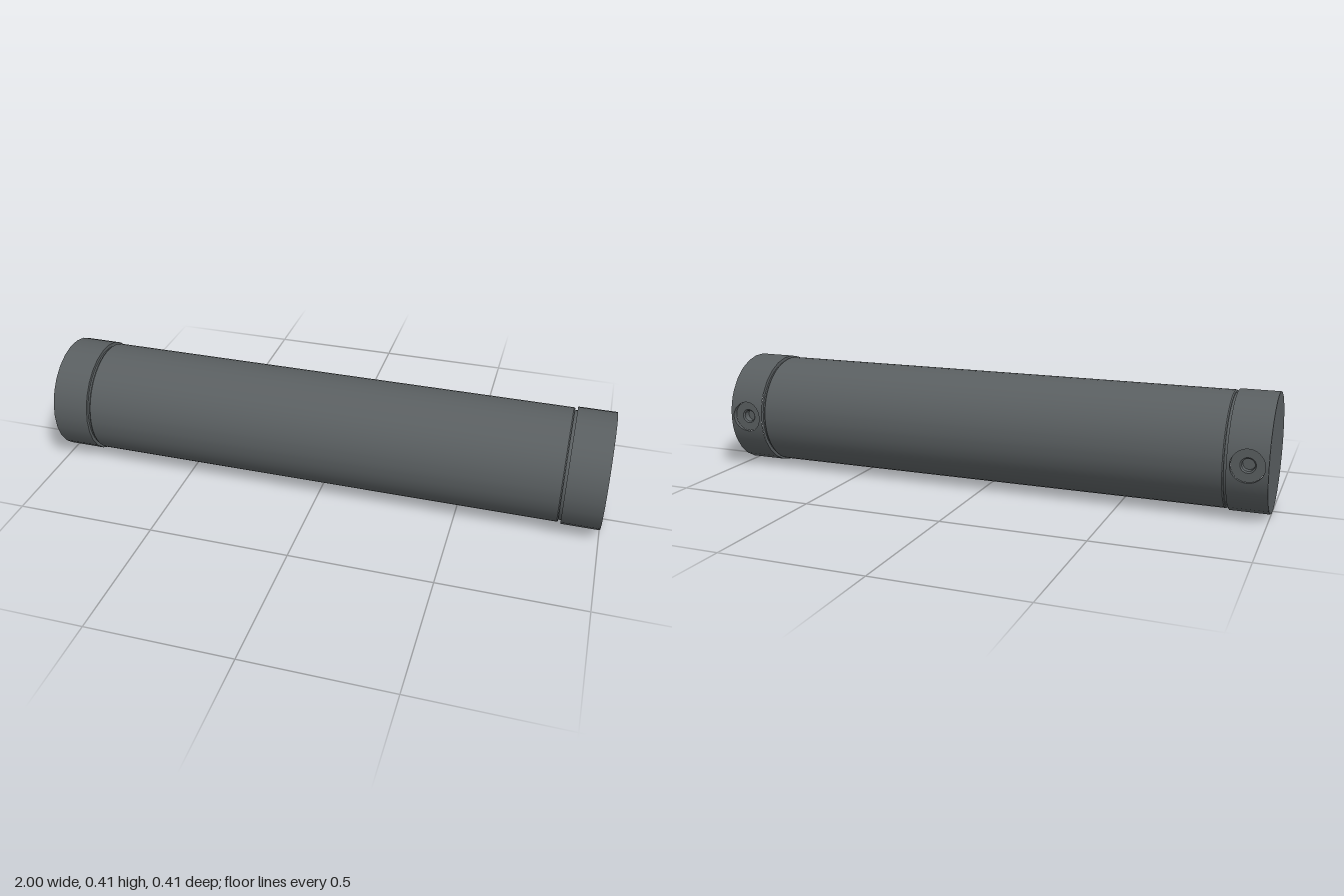
import * as THREE from 'three';
import { toCreasedNormals } from 'three/addons/utils/BufferGeometryUtils.js';
import { ParametricGeometry } from 'three/addons/geometries/ParametricGeometry.js';

const R = 0.205;                 // end cap radius
const SIDES = 26;
const PATCH = 4 * Math.PI / SIDES; // half angle of the wall patch around the screw recess
const INNER = 0.867;             // x of the cap's inner face
const HALF = (1 - INNER) / 2;    // half width of a cap
const HOLE = 0.056;              // recess radius
const FLOOR = 0.188;             // distance of the recess floor from the axis

const dark = new THREE.MeshStandardMaterial({ color: 0x5a5f61 });
const darkDouble = new THREE.MeshStandardMaterial({ color: 0x5a5f61, side: THREE.DoubleSide });

function add(parent, name, geometry, material = dark) {
  const mesh = new THREE.Mesh(geometry, material);
  mesh.name = name;
  parent.add(mesh);
  return mesh;
}

function lathe(profile, segments) {
  const points = profile.map(([r, y]) => new THREE.Vector2(r, y));
  return toCreasedNormals(new THREE.LatheGeometry(points, segments), 0.5);
}

// point on the cap wall; angle 0 faces the back
const onWall = (x, a, target) => target.set(x, R * Math.sin(a), -R * Math.cos(a));

function createCap(name) {
  const cap = new THREE.Group();
  cap.name = name;

  // plain wall round the rest of the circumference
  add(cap, 'capWall', new ParametricGeometry((u, v, p) =>
    onWall((2 * v - 1) * HALF, PATCH + u * (2 * Math.PI - 2 * PATCH), p), SIDES - 4, 1));

  // curved patch of wall with a round opening
  add(cap, 'recessSurround', new ParametricGeometry((u, v, p) => {
    const c = Math.cos(u * 2 * Math.PI), s = Math.sin(u * 2 * Math.PI);
    const m = Math.max(Math.abs(c), Math.abs(s));
    const x = THREE.MathUtils.lerp(HOLE * c, HALF * c / m, v);
    const a = THREE.MathUtils.lerp(Math.asin(HOLE * s / R), PATCH * s / m, v);
    onWall(x, a, p);
  }, 48, 4));

  // side of the recess, from its floor to the curved rim
  add(cap, 'recessSide', new ParametricGeometry((u, v, p) => {
    const x = HOLE * Math.cos(u * 2 * Math.PI), y = HOLE * Math.sin(u * 2 * Math.PI);
    p.set(x, y, -THREE.MathUtils.lerp(FLOOR, Math.sqrt(R * R - y * y), v));
  }, 48, 1), darkDouble);

  // screw head with a socket
  const screw = lathe([
    [HOLE, FLOOR], [0.05, FLOOR], [0.026, FLOOR], [0.021, FLOOR - 0.005],
    [0.021, FLOOR - 0.03], [0, FLOOR - 0.03],
  ], 24);
  screw.rotateX(-Math.PI / 2);
  add(cap, 'screw', screw, darkDouble);

  // flat faces at both ends of the cap
  for (const s of [-1, 1]) {
    const face = add(cap, 'capFace', new THREE.CircleGeometry(R, SIDES));
    face.rotation.y = s * Math.PI / 2;
    face.position.x = s * HALF;
  }
  return cap;
}

export function createModel() {
  const model = new THREE.Group();
  model.name = 'cappedTube';
  const assembly = new THREE.Group();
  assembly.name = 'tubeAssembly';
  assembly.position.y = R;
  model.add(assembly);

  // long tube with softened ends and a narrow neck next to each cap
  const half = [[0.2, 0.854], [0.197, 0.858], [0.192, 0.858], [0.192, 0.87]];
  const mirrored = half.map(([r, y]) => [r, -y]).reverse();
  const tube = lathe([...mirrored, ...half], 52);
  tube.rotateZ(-Math.PI / 2);
  add(assembly, 'tube', tube);

  // end caps
  for (const [s, name] of [[1, 'leftCap'], [-1, 'rightCap']]) {
    const cap = createCap(name);
    cap.position.x = s * (1 - HALF);
    assembly.add(cap);
  }
  return model;
}
